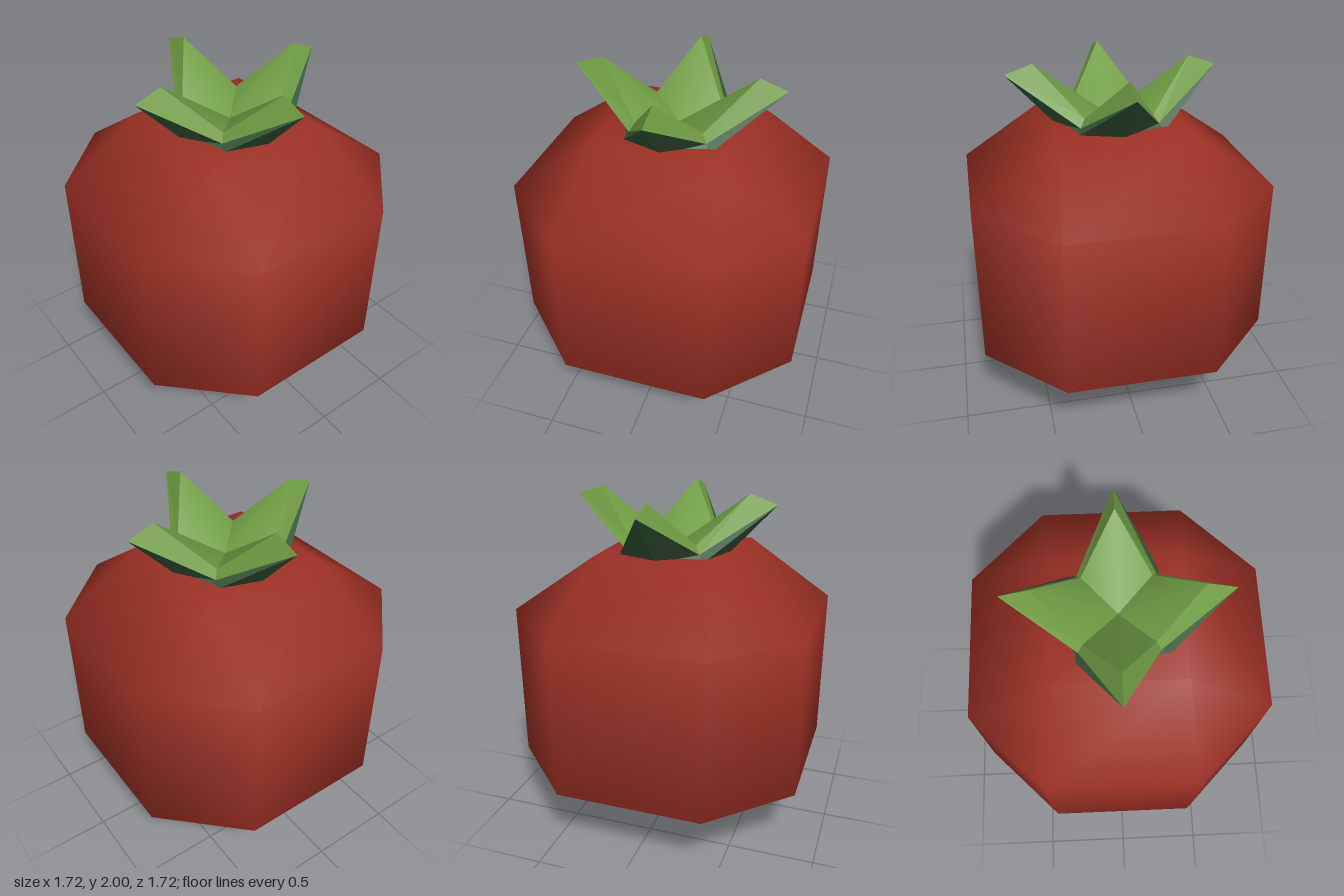
import * as THREE from 'three';
import { mergeVertices } from 'three/addons/utils/BufferGeometryUtils.js';

const red = new THREE.MeshStandardMaterial({ color: 0x9c3026 });
red.name = 'fruitRed';
const leafGreen = new THREE.MeshStandardMaterial({ color: 0x709c42 });
leafGreen.name = 'leafGreen';
const darkGreen = new THREE.MeshStandardMaterial({ color: 0x365a3a });
darkGreen.name = 'leafUndersideGreen';

// Eight points: a square whose corners are cut from (a, a) to (a, b) and (b, a)
function ring(y, a, b) {
  const points = [];
  for (const [sx, sz] of [[1, 1], [-1, 1], [-1, -1], [1, -1]]) {
    const corner = [[sx * a, y, sz * b], [sx * b, y, sz * a]];
    points.push(...(sx * sz > 0 ? corner : corner.reverse()));
  }
  return points;
}

// Four-pointed star: tips on the axes, valleys on the diagonals
function star(tipRadius, tipY, valley, valleyY) {
  const points = [];
  for (let i = 0; i < 8; i++) {
    const angle = (i * Math.PI) / 4;
    const tip = i % 2 === 0;
    const r = tip ? tipRadius : valley * Math.SQRT2;
    points.push([r * Math.cos(angle), tip ? tipY : valleyY, r * Math.sin(angle)]);
  }
  return points;
}

// Triangles joining a lower ring to an upper ring, facing outward
function band(lower, upper) {
  const triangles = [];
  const n = lower.length;
  for (let i = 0; i < n; i++) {
    const j = (i + 1) % n;
    triangles.push(lower[i], upper[i], lower[j], lower[j], upper[i], upper[j]);
  }
  return triangles;
}

function build(points, smooth) {
  let geometry = new THREE.BufferGeometry();
  geometry.setAttribute('position', new THREE.Float32BufferAttribute(points.flat(), 3));
  if (smooth) geometry = mergeVertices(geometry, 1e-4);
  geometry.computeVertexNormals();
  return geometry;
}

function part(name, geometry, material) {
  const mesh = new THREE.Mesh(geometry, material);
  mesh.name = name;
  return mesh;
}

export function createModel() {
  const model = new THREE.Group();
  model.name = 'fruit';

  // Fruit body: square base, octagonal sides, square top
  const rings = [
    ring(0, 0.28, 0.28), ring(0.385, 0.86, 0.43),
    ring(1.32, 0.86, 0.43), ring(1.665, 0.37, 0.37),
  ];
  const faces = [];
  for (let i = 0; i < 3; i++) faces.push(...band(rings[i], rings[i + 1]));
  const base = rings[0], top = rings[3];
  faces.push(base[0], base[2], base[4], base[0], base[4], base[6]);
  faces.push(top[0], top[4], top[2], top[0], top[6], top[4]);
  model.add(part('fruitBody', build(faces, true), red));

  // Leafy crown
  const crown = new THREE.Group();
  crown.name = 'crown';
  crown.position.set(0.015, 0, 0.005);
  const foot = star(0.33, 1.645, 0.25, 1.645);
  const outer = star(0.608, 1.945, 0.222, 1.685);
  const inner = star(0.448, 2, 0.195, 1.73);
  crown.add(part('leafUnderside', build(band(foot, outer)), darkGreen));
  crown.add(part('leafRim', build(band(outer, inner)), leafGreen));

  // Inner leaf faces, each softly folded from the centre to its tip
  const centre = [0, 1.668, 0];
  for (let i = 0; i < 8; i += 2) {
    const before = inner[(i + 7) % 8], tip = inner[i], after = inner[i + 1];
    const leaf = build([centre, tip, before, centre, after, tip], true);
    crown.add(part('leafInner', leaf, leafGreen));
  }
  model.add(crown);
  return model;
}
